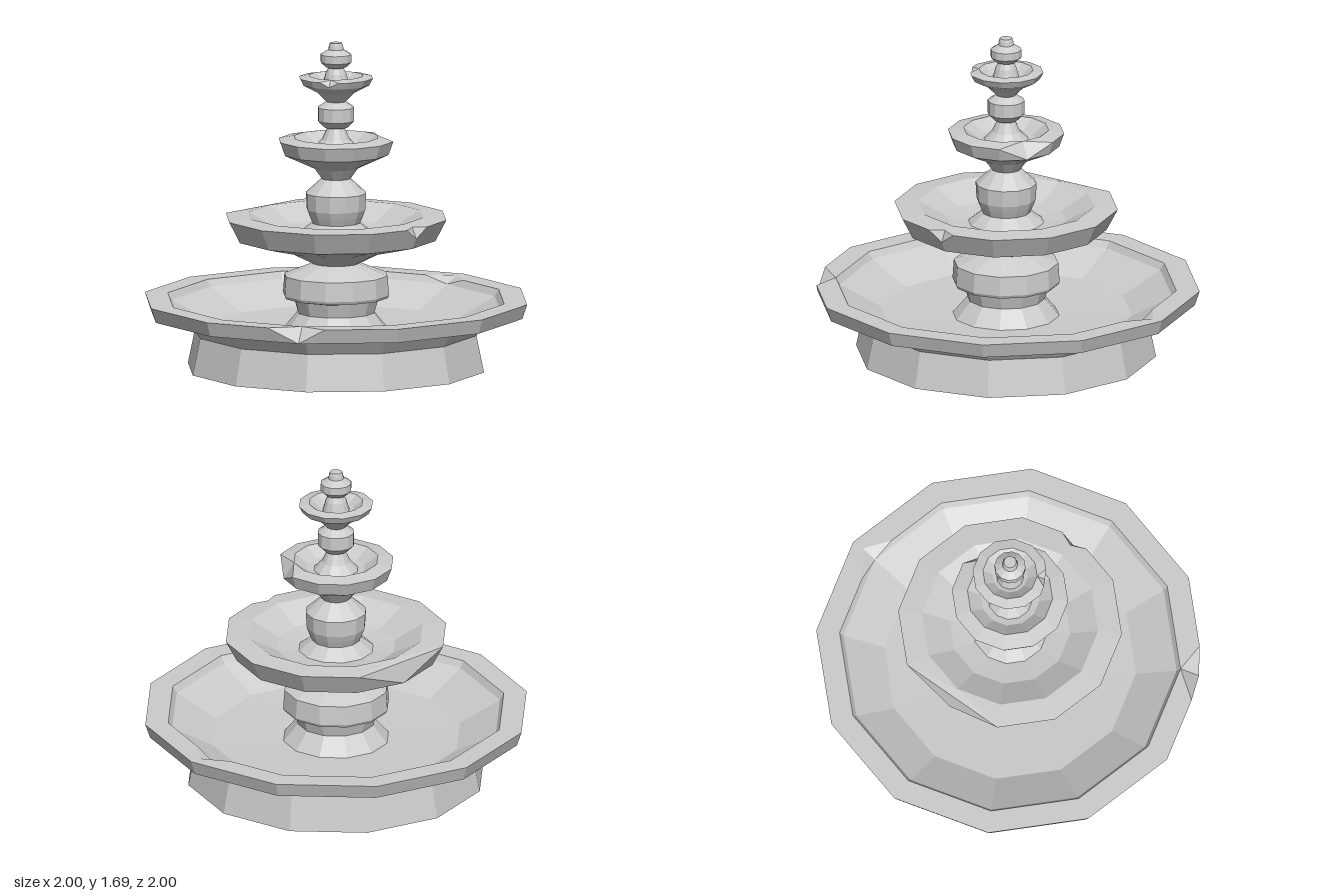
import * as THREE from 'three';

const SIDES = 12;

// Point on ring r, height y, at corner k of the twelve sides
function ringPoint([r, y], k) {
  const a = (k / SIDES) * Math.PI * 2;
  return new THREE.Vector3(r * Math.cos(a), y, r * Math.sin(a));
}

// Faceted turned part. Profile runs from the bottom, up the outside and in.
// Each chip cuts off corner k of ring i; next, prev, down and up say how far
// the cut reaches along the four edges that meet there. A flat chip is one
// straight slice, the others are notches folded along their middle.
function turned(name, profile, chips = []) {
  const pos = [];
  const ab = new THREE.Vector3(), ac = new THREE.Vector3();
  const fan = (pts) => {
    for (let n = 1; n < pts.length - 1; n++) {
      const [a, b, c] = [pts[0], pts[n], pts[n + 1]];
      ab.subVectors(b, a);
      ac.subVectors(c, a);
      if (ab.cross(ac).length() < 1e-8) continue;
      for (const p of [a, b, c]) pos.push(p.x, p.y, p.z);
    }
  };
  const at = (i, k) => ringPoint(profile[i], k);
  const findChip = (i, k) => chips.find((c) => c.i === i && c.k === k % SIDES);
  const reach = (c, di, dk) => (dk > 0 ? c.next : dk < 0 ? c.prev : di > 0 ? c.up : c.down);

  for (let i = 0; i < profile.length - 1; i++) {
    for (let k = 0; k < SIDES; k++) {
      const corners = [[i, k], [i + 1, k], [i + 1, k + 1], [i, k + 1]];
      // Start the fan opposite a chipped corner
      const hit = corners.findIndex(([ci, ck]) => findChip(ci, ck));
      const start = hit < 0 ? 0 : hit + 2;
      const pts = [];
      for (let n = 0; n < 4; n++) {
        const [ci, ck] = corners[(start + n) % 4];
        const chip = findChip(ci, ck);
        if (!chip) { pts.push(at(ci, ck)); continue; }
        for (const step of [3, 1]) {
          const [ni, nk] = corners[(start + n + step) % 4];
          pts.push(at(ci, ck).lerp(at(ni, nk), reach(chip, ni - ci, nk - ck)));
        }
      }
      fan(pts);
    }
  }
  // Broken faces left by the chips
  for (const c of chips) {
    const p = at(c.i, c.k);
    const next = p.clone().lerp(at(c.i, c.k + 1), c.next);
    const down = p.clone().lerp(at(c.i - 1, c.k), c.down);
    const prev = p.clone().lerp(at(c.i, c.k + SIDES - 1), c.prev);
    const up = p.clone().lerp(at(c.i + 1, c.k), c.up);
    fan(c.flat ? [next, down, prev, up] : [down, prev, up, next]);
  }
  const geo = new THREE.BufferGeometry();
  geo.setAttribute('position', new THREE.Float32BufferAttribute(pos, 3));
  geo.computeVertexNormals();
  const mesh = new THREE.Mesh(geo, new THREE.MeshStandardMaterial({
    color: 0xcccccc, flatShading: true, side: THREE.DoubleSide,
  }));
  mesh.name = name;
  return mesh;
}

export function createModel() {
  const group = new THREE.Group();
  group.name = 'fountain';

  // Ground basin with a wide rim and a shallow floor
  group.add(turned('basin', [
    [0, 0], [0.775, 0], [0.735, 0.19], [0.8, 0.285], [0.975, 0.285],
    [1, 0.36], [0.88, 0.36], [0.86, 0.325], [0.65, 0.215], [0.275, 0.2],
  ], [
    { i: 5, k: 5, next: 0.33, prev: 0.27, down: 1, up: 1 },
    { i: 6, k: 0, next: 0.28, prev: 0.3, down: 0.5, up: 1 },
  ]));

  // Pedestal carrying the large bowl
  group.add(turned('lowerPedestal', [
    [0.275, 0.2], [0.2, 0.29], [0.22, 0.36], [0.27, 0.37], [0.277, 0.385],
    [0.27, 0.485], [0.12, 0.545],
  ]));

  group.add(turned('largeBowl', [
    [0.12, 0.545], [0.25, 0.61], [0.52, 0.675], [0.577, 0.785],
    [0.455, 0.795], [0.31, 0.715], [0.195, 0.7],
  ], [
    { i: 3, k: 3, next: 0.27, prev: 0.27, down: 0.5, up: 0.45 },
    { i: 3, k: 9, next: 1, prev: 1, down: 1, up: 1, flat: true },
  ]));

  // Turned stem between the large and middle bowls
  group.add(turned('middleStem', [
    [0.195, 0.7], [0.125, 0.755], [0.14, 0.79], [0.153, 0.825], [0.158, 0.91], [0.075, 0.985],
  ]));

  group.add(turned('middleBowl', [
    [0.075, 0.985], [0.115, 1.04], [0.275, 1.115], [0.3, 1.185],
    [0.22, 1.2], [0.15, 1.15], [0.115, 1.145],
  ], [
    { i: 3, k: 1, next: 1, prev: 1, down: 1, up: 1 },
  ]));

  // Stem between the middle and small bowls
  group.add(turned('upperStem', [
    [0.115, 1.145], [0.073, 1.19], [0.045, 1.25], [0.06, 1.25],
    [0.095, 1.285], [0.095, 1.355], [0.05, 1.385],
  ]));

  group.add(turned('smallBowl', [
    [0.05, 1.385], [0.1, 1.435], [0.175, 1.475], [0.193, 1.51],
    [0.14, 1.52], [0.09, 1.48], [0.07, 1.475],
  ], [
    { i: 3, k: 5, next: 0.5, prev: 0.5, down: 0.7, up: 1 },
  ]));

  // Knob and spout on top
  group.add(turned('finial', [
    [0.07, 1.475], [0.055, 1.53], [0.04, 1.56], [0.055, 1.565], [0.08, 1.59],
    [0.08, 1.63], [0.04, 1.655], [0.037, 1.675], [0.032, 1.69], [0, 1.69],
  ]));

  return group;
}
